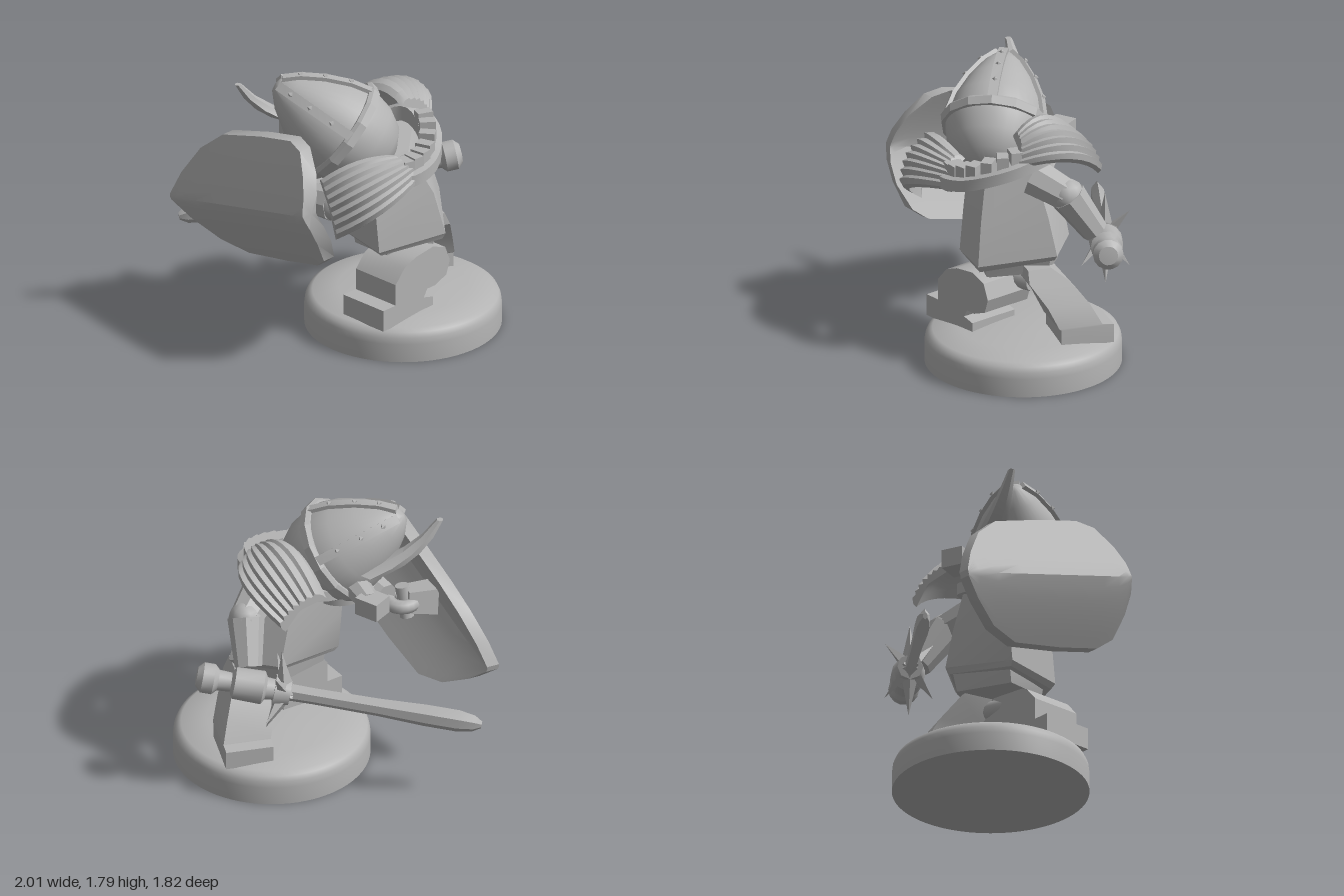
import * as THREE from 'three';
import { toCreasedNormals } from 'three/addons/utils/BufferGeometryUtils.js';

const V = (x, y, z) => new THREE.Vector3(x, y, z);
const UP = V(0, 1, 0);

// Closed skin through equal-length rings of points, capped at both ends
function loft(rings, crease = 0.6) {
  const n = rings[0].length, pos = [];
  const tri = (...p) => p.forEach(q => pos.push(q.x, q.y, q.z));
  for (let i = 0; i < rings.length - 1; i++) {
    for (let j = 0; j < n; j++) {
      const k = (j + 1) % n, a = rings[i], b = rings[i + 1];
      tri(a[j], a[k], b[k]);
      tri(a[j], b[k], b[j]);
    }
  }
  const cap = (r, flip) => {
    const c = r.reduce((s, p) => s.add(p), V(0, 0, 0)).divideScalar(n);
    for (let j = 0; j < n; j++) {
      const p = r[j], q = r[(j + 1) % n];
      flip ? tri(c, q, p) : tri(c, p, q);
    }
  };
  cap(rings[0], true);
  cap(rings[rings.length - 1], false);
  // turn the skin outward if its volume is negative
  let vol = 0;
  const at = i => V(pos[i], pos[i + 1], pos[i + 2]);
  for (let i = 0; i < pos.length; i += 9) vol += at(i).dot(at(i + 3).cross(at(i + 6)));
  if (vol < 0) {
    for (let i = 0; i < pos.length; i += 9) {
      for (let c = 0; c < 3; c++) [pos[i + 3 + c], pos[i + 6 + c]] = [pos[i + 6 + c], pos[i + 3 + c]];
    }
  }
  const g = new THREE.BufferGeometry();
  g.setAttribute('position', new THREE.Float32BufferAttribute(pos, 3));
  return toCreasedNormals(g, crease);
}

// Group whose local x, y, z axes follow the given directions
function framed(name, origin, x, y, z) {
  const g = new THREE.Group();
  g.name = name;
  g.quaternion.setFromRotationMatrix(new THREE.Matrix4().makeBasis(x, y, z));
  g.position.copy(origin);
  return g;
}

export function createModel() {
  const root = new THREE.Group();
  const grey = new THREE.MeshStandardMaterial({ color: 0xb4b4b4, side: THREE.DoubleSide });
  grey.name = 'plain grey';
  const add = (parent, name, geo) => {
    const m = new THREE.Mesh(geo, grey);
    m.name = name;
    parent.add(m);
    return m;
  };
  const lathe = (pts, seg = 32, crease = 0.6) =>
    toCreasedNormals(new THREE.LatheGeometry(pts.map(p => new THREE.Vector2(...p)), seg), crease);
  // Tapered limb between two points
  const limb = (name, a, b, ra, rb, seg = 8) => {
    const d = b.clone().sub(a);
    const m = add(root, name, toCreasedNormals(new THREE.CylinderGeometry(rb, ra, d.length(), seg), 0.7));
    m.position.copy(a).add(b).multiplyScalar(0.5);
    m.quaternion.setFromUnitVectors(UP, d.normalize());
  };

  // Round base
  add(root, 'base', lathe([[0, 0], [0.61, 0], [0.61, 0.12], [0.605, 0.16], [0.59, 0.192], [0.56, 0.212],
    [0.4, 0.238], [0.2, 0.255], [0, 0.265]], 64, 0.9)).position.set(0.39, 0, -0.195);

  // Left leg: side profile extruded across the leg
  const profile = [[0.39, 0.21], [0.39, 0.35], [0.28, 0.35], [0.28, 0.49], [0.2, 0.58], [0.1, 0.62], [-0.05, 0.64],
    [-0.16, 0.6], [-0.2, 0.5], [-0.17, 0.41], [-0.07, 0.37], [0, 0.37], [0.03, 0.32], [-0.05, 0.3], [-0.05, 0.21]];
  const toe = V(-0.35, 0, 0.94).normalize();
  const leftLeg = framed('leftLeg', V(0.5, 0, -0.01), toe, UP, toe.clone().cross(UP));
  root.add(leftLeg);
  const legShape = new THREE.Shape(profile.map(p => new THREE.Vector2(...p)));
  const legGeo = new THREE.ExtrudeGeometry(legShape, { depth: 0.34, bevelEnabled: false });
  add(leftLeg, 'leftLegBlock', toCreasedNormals(legGeo.translate(0, 0, -0.17), 0.6));

  // Right leg: foot block rising into a leaning shin
  const rt = V(-0.75, 0, -0.66), rl = V(0.66, 0, -0.75);
  const legRing = (x, y, z, back, front, half) => [[-back, -half], [front, -half], [front, half], [-back, half]]
    .map(([t, l]) => V(x, y, z).addScaledVector(rt, t).addScaledVector(rl, l));
  add(root, 'rightLeg', loft([
    legRing(0.34, 0.21, -0.57, 0.17, 0.17, 0.15), legRing(0.34, 0.33, -0.57, 0.17, 0.17, 0.15),
    legRing(0.35, 0.34, -0.56, 0.17, 0.11, 0.15), legRing(0.39, 0.47, -0.47, 0.14, 0.13, 0.15),
    legRing(0.43, 0.62, -0.35, 0.13, 0.12, 0.15), legRing(0.45, 0.7, -0.3, 0.08, 0.07, 0.14)], 0.4));
  limb('hipBar', V(0.4, 0.55, 0.05), V(0.45, 0.57, -0.3), 0.07, 0.07, 12);

  // Torso and hip plate: rings of front left, back left, back ridge, back right, front right
  add(root, 'torso', loft([
    [V(0.12, 0.68, 0.09), V(0.42, 0.62, 0.21), V(0.71, 0.67, -0.07), V(0.48, 0.75, -0.47), V(0.2, 0.76, -0.38)],
    [V(0.1, 0.71, 0.11), V(0.42, 0.65, 0.24), V(0.73, 0.71, -0.07), V(0.5, 0.79, -0.5), V(0.18, 0.8, -0.4)],
    [V(0.07, 0.98, 0.1), V(0.39, 0.93, 0.23), V(0.66, 0.98, -0.05), V(0.47, 1.02, -0.42), V(0.17, 1.04, -0.34)],
    [V(0.05, 1.25, 0.08), V(0.35, 1.2, 0.22), V(0.51, 1.25, 0), V(0.42, 1.32, -0.28), V(0.18, 1.33, -0.26)]], 0.4));
  add(root, 'hipPlate', loft([
    [V(0.18, 0.6, 0.06), V(0.43, 0.59, 0.14), V(0.64, 0.61, -0.08), V(0.46, 0.65, -0.41), V(0.22, 0.64, -0.34)],
    [V(0.16, 0.7, 0.06), V(0.42, 0.67, 0.16), V(0.67, 0.7, -0.08), V(0.47, 0.77, -0.44), V(0.2, 0.77, -0.36)]]));

  // Collar: slab around the neck with a row of blocks at the back
  const collar = new THREE.CatmullRomCurve3([V(0.44, 1.19, 0.28), V(0.6, 1.2, 0.2), V(0.65, 1.24, 0.03),
    V(0.56, 1.33, -0.2), V(0.38, 1.38, -0.3), V(0.16, 1.3, -0.22), V(0.06, 1.2, 0.05), V(0.2, 1.15, 0.28)], true);
  const heart = V(0.32, 1.3, 0);
  const outward = p => p.clone().sub(heart).setY(0).normalize();
  add(root, 'collar', loft(collar.getPoints(32).map(p => {
    const o = outward(p).multiplyScalar(0.07);
    return [[-1, -0.04], [1, -0.05], [1, 0.025], [-1, 0.06]].map(([a, h]) => p.clone().addScaledVector(o, a).add(V(0, h, 0)));
  })));
  for (let i = 0; i < 8; i++) {
    const p = collar.getPoint(0.075 + i * 0.046), o = outward(p);
    const b = add(root, 'collarBlock', new THREE.BoxGeometry(0.072, 0.09, 0.1));
    b.position.copy(p).addScaledVector(o, -0.02).add(V(0, 0.06, 0));
    b.lookAt(b.position.clone().add(o));
  }

  // Ribbed shoulder shells: two curved edges with zigzag ribs between them
  const shoulder = (name, edgeA, edgeB, out) => {
    out.normalize();
    const ca = new THREE.QuadraticBezierCurve3(...edgeA), cb = new THREE.QuadraticBezierCurve3(...edgeB);
    const rings = [], N = 14;
    for (let i = 0; i <= 8; i++) {
      const t = i / 8, a = ca.getPoint(t), b = cb.getPoint(t), top = [], under = [];
      for (let j = 0; j <= N; j++) {
        const s = j / N, rib = (j % 2) * (0.015 + 0.02 * t);
        const p = a.clone().lerp(b, s).addScaledVector(out, Math.sin(Math.PI * s) * 0.06 + rib);
        top.push(p);
        under.unshift(p.clone().addScaledVector(out, -0.045 - rib));
      }
      rings.push([...top, ...under]);
    }
    add(root, name, loft(rings, 0.4));
  };
  shoulder('leftShoulderArmour', [V(0.5, 1.32, 0.2), V(0.38, 1.43, 0.5), V(0.17, 1.25, 0.57)],
    [V(0.66, 1.17, 0.14), V(0.68, 1.14, 0.68), V(0.3, 0.89, 0.62)], V(0.45, 0.5, 0.7));
  shoulder('rightShoulderArmour', [V(0.42, 1.52, -0.16), V(0.2, 1.7, -0.22), V(-0.05, 1.36, -0.28)],
    [V(0.55, 1.36, -0.25), V(0.45, 1.52, -0.66), V(0.06, 1.22, -0.56)], V(0.25, 0.7, -0.6));

  // Arms and hands
  const arm = (name, pts) => {
    for (let i = 0; i < pts.length - 1; i++) limb(name, pts[i], pts[i + 1], 0.125 - i * 0.01, 0.105 - i * 0.02);
    const e = add(root, name + 'Elbow', new THREE.SphereGeometry(0.108, 10, 8));
    e.position.copy(pts[1]);
  };
  arm('leftArm', [V(0.3, 1.13, 0.22), V(0.2, 1.03, 0.43), V(-0.08, 1.01, 0.36)]);
  arm('rightArm', [V(0.4, 1.24, -0.28), V(0.37, 1.15, -0.5), V(0.26, 0.9, -0.63)]);
  const leftHand = add(root, 'leftHand', new THREE.TorusGeometry(0.08, 0.045, 8, 16, 5));
  leftHand.position.set(-0.2, 1.03, 0.36);
  leftHand.rotation.set(Math.PI / 2, 0, 0.6);
  limb('shieldGrip', V(-0.24, 0.93, 0.36), V(-0.2, 1.14, 0.36), 0.045, 0.045, 10);
  limb('shieldBracket', V(-0.22, 1.04, 0.37), V(-0.33, 1.02, 0.52), 0.1, 0.12, 4);

  // Shield: long pointed outline folded along its middle line
  const d = V(0.876, 0.24, 0.42).normalize(), w = V(-0.25, 0.97, -0.05).normalize(), n = d.clone().cross(w);
  const shield = framed('shield', V(0.19, 1.14, 0.895), d, w, n);
  root.add(shield);
  const outline = [[-1.29, 0.02], [-1.2, 0.15], [-1.05, 0.3], [-0.86, 0.39], [-0.5, 0.41], [-0.21, 0.41],
    [-0.1, 0.36], [-0.03, 0.22], [0, 0.1]];
  add(shield, 'shieldPlate', loft(outline.map(([u, half]) => {
    const front = [], back = [];
    for (let j = 0; j <= 12; j++) {
      const v = half * (j / 6 - 1), k = -0.19 * Math.pow(Math.abs(v) / 0.41, 1.2);
      front.push(V(u, v, k));
      back.unshift(V(u + (u > -0.1 ? 0.03 : 0), v, k - 0.085));
    }
    return [...front, ...back];
  })));

  // Head and pointed helmet: local y runs to the tip, local z to the crest
  const head = add(root, 'head', new THREE.CylinderGeometry(0.2, 0.18, 0.3, 20));
  head.position.set(0.1, 1.27, 0.12);
  const axis = V(-0.73, 0.6, 0.3).normalize();
  const crest = UP.clone().addScaledVector(axis, -axis.y).normalize();
  const helmet = framed('helmet', V(0.17, 1.36, 0.13), axis.clone().cross(crest), axis, crest);
  root.add(helmet);
  const visor = [[0.32, 0.06], [0.285, 0.2], [0.215, 0.35], [0.13, 0.48], [0.05, 0.56]];
  add(helmet, 'helmetShell', lathe([[0, -0.3], [0.12, -0.28], [0.22, -0.22], [0.285, -0.11], [0.31, 0],
    ...visor, [0, 0.575]], 36, 0.8));
  add(helmet, 'helmetRim', lathe([[0.29, 0.02], [0.34, 0.02], [0.35, 0.07], [0.33, 0.09], [0.29, 0.09]], 14, 0.3));
  for (const angle of [0, 1.2, -1.2]) {
    const out = V(Math.sin(angle), 0, Math.cos(angle)), side = V(Math.cos(angle), 0, -Math.sin(angle));
    const point = (r, a, s) => out.clone().multiplyScalar(r).addScaledVector(side, s).setY(a);
    add(helmet, 'helmetBand', loft(visor.map(([r, a]) => [[-0.02, -0.03], [0.02, -0.03], [0.02, 0.03], [-0.02, 0.03]]
      .map(([h, s]) => point(r + h, a + h * 0.5, s)))));
    for (const i of [1, 2, 3]) {
      add(helmet, 'helmetStud', new THREE.OctahedronGeometry(0.02)).position.copy(point(visor[i][0] + 0.018, visor[i][1] + 0.012, 0));
    }
  }

  // Curved horn and the blocky jaw piece beside it
  const horn = new THREE.QuadraticBezierCurve3(V(-0.17, 1.36, 0.08), V(-0.38, 1.46, 0.28), V(-0.46, 1.7, 0.4));
  add(root, 'horn', loft([0, 0.25, 0.5, 0.75, 1].map(t => {
    const p = horn.getPoint(t), r = 0.08 * (1 - t) + 0.022;
    return [0, 1, 2, 3, 4, 5].map(i => p.clone().add(V(Math.cos(i * Math.PI / 3) * r, 0.3 * r, Math.sin(i * Math.PI / 3) * r)));
  })));
  const jaw = add(root, 'jaw', new THREE.BoxGeometry(0.16, 0.12, 0.14));
  jaw.position.set(-0.28, 1.26, -0.07);
  limb('jawLink', V(-0.25, 1.26, -0.06), V(0, 1.28, 0.08), 0.07, 0.1);

  // Sword: local y runs from the pommel to the tip
  const sy = V(-1.47, -0.3, 0.93).normalize();
  const sx = UP.clone().addScaledVector(sy, -sy.y).normalize();
  const sword = framed('sword', V(0.46, 0.86, -0.84), sx, sy, sx.clone().cross(sy));
  root.add(sword);
  add(sword, 'hilt', lathe([[0, -0.04], [0.06, -0.035], [0.095, 0], [0.095, 0.07], [0.065, 0.1], [0.06, 0.18],
    [0.1, 0.2], [0.105, 0.38], [0.07, 0.4], [0.06, 0.5], [0, 0.52]], 14));
  add(sword, 'blade', loft([[0.46, 0.065], [0.7, 0.06], [1.1, 0.065], [1.4, 0.08], [1.6, 0.08], [1.7, 0.06], [1.75, 0.025]]
    .map(([a, h]) => [[1, 0], [0.4, 0.5], [-0.4, 0.5], [-1, 0], [-0.4, -0.5], [0.4, -0.5]]
      .map(([x, z]) => V(h * x, a, h * z))), 0.4));
  // Star-shaped guard, flattened sideways
  add(sword, 'guardCore', new THREE.CylinderGeometry(0.08, 0.1, 0.1, 8)).position.y = 0.5;
  for (let i = 0; i < 6; i++) {
    const a = i * Math.PI / 3, dir = V(Math.cos(a), -0.25, Math.sin(a) * 0.5);
    const spike = add(sword, 'guardSpike', toCreasedNormals(new THREE.ConeGeometry(0.06, 0.28, 4), 0.3));
    spike.position.set(0, 0.52, 0).addScaledVector(dir, 0.15);
    spike.quaternion.setFromUnitVectors(UP, dir.normalize());
  }
  return root;
}
